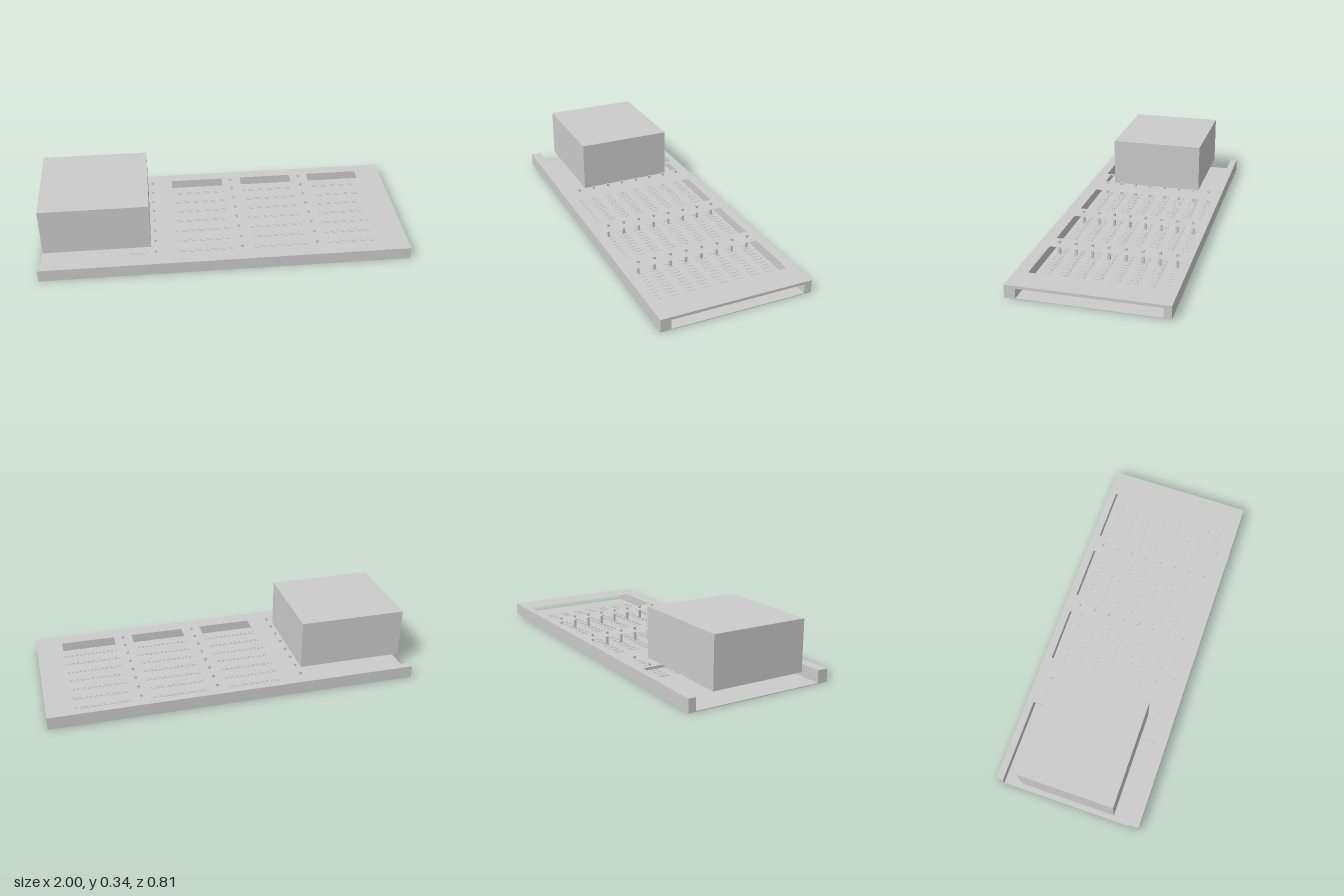
import * as THREE from 'three';

const material = new THREE.MeshStandardMaterial({ color: 0xcccccc, flatShading: true });

// Box given by its min and max corners
function block(name, [x0, x1], [y0, y1], [z0, z1]) {
  const geometry = new THREE.BoxGeometry(x1 - x0, y1 - y0, z1 - z0);
  geometry.translate((x0 + x1) / 2, (y0 + y1) / 2, (z0 + z1) / 2);
  const mesh = new THREE.Mesh(geometry, material);
  mesh.name = name;
  return mesh;
}

// Rectangular cutout in plan; shape y is -z
function cutout(x0, x1, z0, z1) {
  return new THREE.Path([
    new THREE.Vector2(x0, -z0), new THREE.Vector2(x1, -z0),
    new THREE.Vector2(x1, -z1), new THREE.Vector2(x0, -z1),
  ]);
}

export function createModel() {
  const model = new THREE.Group();
  model.name = 'deviceTray';
  const innerZ = [-0.368, 0.35];
  const plateBottom = 0.055, plateTop = 0.07;

  // Side rails and thin floor
  model.add(block('backRail', [-1, 1], [0, plateBottom], [-0.407, innerZ[0]]));
  model.add(block('frontRail', [-1, 1], [0, plateBottom], [innerZ[1], 0.407]));
  model.add(block('floor', [-1, 1], [0, 0.004], innerZ));

  // Top plate: open notch at the left end, three windows and two small slots
  const outline = [
    [-1, -0.407], [1, -0.407], [1, 0.407], [-1, 0.407],
    [-1, innerZ[1]], [-0.535, innerZ[1]], [-0.535, innerZ[0]], [-1, innerZ[0]],
  ].map(([x, z]) => new THREE.Vector2(x, -z));
  const shape = new THREE.Shape(outline);
  for (const [x0, x1] of [[-0.26, 0.04], [0.15, 0.45], [0.555, 0.855]]) {
    shape.holes.push(cutout(x0, x1, innerZ[0], innerZ[1] - 0.001));
  }
  shape.holes.push(cutout(-0.515, -0.415, -0.345, -0.3));
  shape.holes.push(cutout(-0.515, -0.415, 0.277, 0.323));
  const plateGeometry = new THREE.ExtrudeGeometry(shape, { depth: plateTop - plateBottom, bevelEnabled: false });
  plateGeometry.rotateX(-Math.PI / 2);
  plateGeometry.translate(0, plateBottom, 0);
  const plate = new THREE.Mesh(plateGeometry, material);
  plate.name = 'topPlate';
  model.add(plate);

  // Housing, overhanging the notch
  model.add(block('housing', [-0.98, -0.4], [plateTop, 0.34], [-0.261, 0.261]));

  // Eight strips of small chips, each with three upright pins
  const strips = new THREE.Group();
  strips.name = 'strips';
  for (let i = 0; i < 8; i++) {
    const z = 0.304 - i * 0.09;
    strips.add(block('strip', [-0.53, 0.855], [0.003, 0.006], [z - 0.028, z + 0.028]));
    for (let x = -0.52; x < 0.84; x += 0.03) {
      strips.add(block('chip', [x, x + 0.018], [0.005, 0.008], [z - 0.02, z + 0.02]));
    }
    for (const x of [-0.375, 0.092, 0.503]) {
      strips.add(block('pin', [x - 0.0065, x + 0.0065], [0.004, 0.083], [z - 0.0065, z + 0.0065]));
    }
  }
  model.add(strips);
  return model;
}
